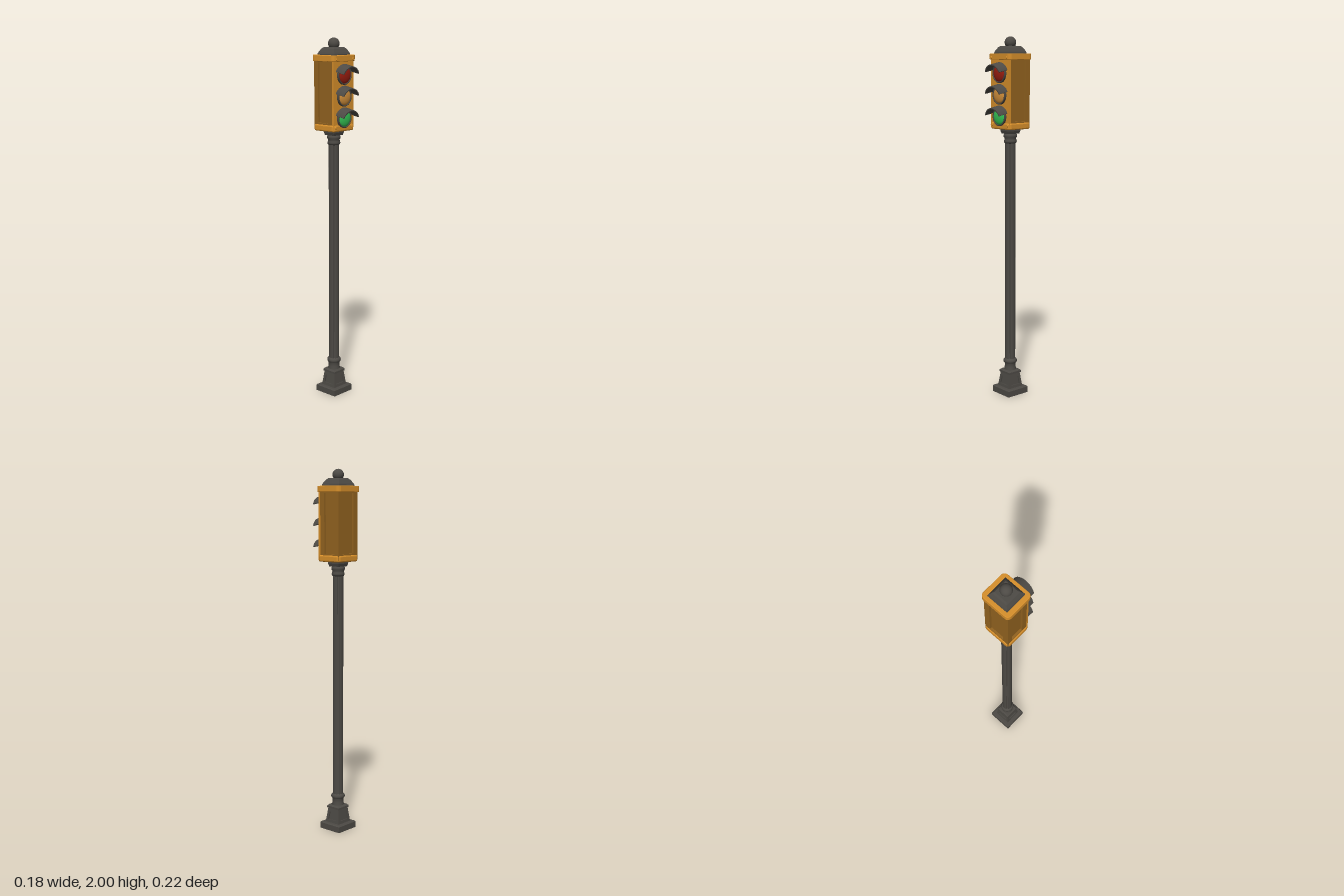
import * as THREE from 'three';

const mat = (name, color) => {
  const m = new THREE.MeshStandardMaterial({ color });
  m.name = name;
  return m;
};

export function createModel() {
  const iron = mat('dark iron', 0x4d4a45);
  const amber = mat('amber paint', 0xd8902b);
  const brown = mat('dark amber paint', 0x946420);
  const red = mat('red glass', 0x9a1e10);
  const yellow = mat('yellow glass', 0xd4913c);
  const green = mat('green glass', 0x35c455);

  const model = new THREE.Group();
  const post = new THREE.Group(); // everything is centred on the pole axis
  post.position.z = -0.028;
  model.add(post);

  const add = (name, geo, material, x = 0, y = 0, z = 0, parent = post) => {
    const mesh = new THREE.Mesh(geo, material);
    mesh.name = name;
    mesh.position.set(x, y, z);
    parent.add(mesh);
    return mesh;
  };
  const points = (p) => p.map(([r, y]) => new THREE.Vector2(r, y));
  // Square stepped block from [halfWidth, y] pairs
  const squareTurned = (p) => {
    const g = new THREE.LatheGeometry(points(p.map(([h, y]) => [h * Math.SQRT2, y])), 4, Math.PI / 4).toNonIndexed();
    g.computeVertexNormals();
    return g;
  };
  const roundTurned = (p) => new THREE.LatheGeometry(points(p), 32);
  // Horizontal slab with rounded corners and edges
  const slab = (hx, hz, r, height, bevel) => {
    const a = hx - bevel, b = hz - bevel;
    const s = new THREE.Shape();
    s.moveTo(-a + r, -b);
    s.lineTo(a - r, -b);
    s.absarc(a - r, -b + r, r, -Math.PI / 2, 0);
    s.absarc(a - r, b - r, r, 0, Math.PI / 2);
    s.absarc(-a + r, b - r, r, Math.PI / 2, Math.PI);
    s.absarc(-a + r, -b + r, r, Math.PI, Math.PI * 1.5);
    const g = new THREE.ExtrudeGeometry(s, {
      depth: height - 2 * bevel, bevelSize: bevel, bevelThickness: bevel, bevelSegments: 3, curveSegments: 6,
    });
    return g.rotateX(-Math.PI / 2).translate(0, bevel, 0);
  };
  // Upright frame with a trapezoid outline and opening, front face at z = 0
  const frame = (w0, w1, h, o0, o1, y0, y1, depth) => {
    const v = (x, y) => new THREE.Vector2(x, y);
    const s = new THREE.Shape([v(-w0, 0), v(w0, 0), v(w1, h), v(-w1, h)]);
    s.holes.push(new THREE.Path([v(-o0, y0), v(-o1, y1), v(o1, y1), v(o0, y0)]));
    return new THREE.ExtrudeGeometry(s, { depth, bevelEnabled: false }).translate(0, 0, -depth);
  };

  // Foot and tapered plinth with a sunken panel on each side
  add('foot', squareTurned([[0, 0], [0.071, 0], [0.071, 0.033], [0.066, 0.038], [0, 0.038]]), iron);
  add('plinth', squareTurned([[0.041, 0.036], [0.03, 0.122]]), iron);
  for (let i = 0; i < 4; i++) {
    const g = frame(0.049, 0.038, 0.086, 0.031, 0.026, 0.018, 0.062, 0.009);
    g.rotateX(-Math.atan(0.011 / 0.086)).translate(0, 0.036, 0.049).rotateY(i * Math.PI / 2);
    add('plinthPanelFrame', g, iron);
  }
  add('plinthCap', squareTurned([[0, 0.119], [0.043, 0.119], [0.043, 0.13], [0.035, 0.138], [0, 0.138]]), iron);
  add('lowerCollar', roundTurned([[0.034, 0.136], [0.031, 0.155], [0.031, 0.176], [0.037, 0.18],
    [0.039, 0.188], [0.037, 0.196], [0.031, 0.202], [0.025, 0.204]]), iron);

  // Round pole with a groove on each diagonal
  const section = new THREE.Shape(Array.from({ length: 96 }, (_, i) => {
    const a = (i / 96) * Math.PI * 2;
    const r = Math.cos(4 * a) < -0.85 ? 0.025 : 0.029;
    return new THREE.Vector2(r * Math.cos(a), r * Math.sin(a));
  }));
  const poleGeo = new THREE.ExtrudeGeometry(section, { depth: 1.25, bevelEnabled: false });
  add('pole', poleGeo.rotateX(-Math.PI / 2), iron, 0, 0.195);

  // Collar and mount below the signal box
  add('upperCollar', roundTurned([[0.025, 1.425], [0.033, 1.43], [0.036, 1.438], [0.033, 1.446],
    [0.031, 1.455], [0.037, 1.463], [0.037, 1.474], [0.03, 1.482], [0.03, 1.49]]), iron);
  add('mount', squareTurned([[0, 1.48], [0.034, 1.48], [0.039, 1.495], [0.039, 1.51], [0, 1.51]]), iron);

  // Signal box: bright front plate, darker core with framed side and back panels
  const bottom = 1.515, height = 0.37, hx = 0.077, hz = 0.072;
  add('boxCore', new THREE.BoxGeometry(0.13, height, 0.12), brown, 0, bottom + height / 2);
  add('frontPlate', new THREE.BoxGeometry(hx * 2, height, 0.012), amber, 0, bottom + height / 2, hz - 0.006);
  for (const s of [-1, 1]) {
    const g = frame(0.066, 0.066, height, 0.037, 0.037, 0.034, 0.356, 0.012);
    add('sidePanelFrame', g, brown, s * hx, bottom, -0.006).rotation.y = s * Math.PI / 2;
  }
  const backGeo = frame(hx, hx, height, 0.044, 0.044, 0.034, 0.356, 0.012);
  add('backPanelFrame', backGeo, brown, 0, bottom, -hz).rotation.y = Math.PI;
  add('bottomTrim', slab(0.082, 0.077, 0.012, 0.036, 0.008), amber, 0, 1.506);
  add('topLip', slab(0.089, 0.083, 0.02, 0.033, 0.003), amber, 0, 1.877);

  // Corner bolts
  for (const x of [-0.063, 0.063]) {
    for (const [y, z] of [[1.888, 0.083], [1.528, 0.077]]) {
      const bolt = new THREE.CylinderGeometry(0.007, 0.009, 0.008, 12).rotateX(Math.PI / 2);
      add('bolt', bolt, amber, x, y, z);
    }
  }

  // Lights: rim, glass dome and tilted hood
  const a0 = 0.4, a1 = Math.PI - a0;
  const hoodShape = new THREE.Shape();
  hoodShape.absarc(0, 0, 0.066, a0, a1, false);
  hoodShape.absarc(0, 0, 0.06, a1, a0, true);
  [[1.806, red], [1.691, yellow], [1.576, green]].forEach(([y, glass]) => {
    const light = new THREE.Group();
    light.name = 'light';
    light.position.set(0, y, hz);
    post.add(light);
    const rim = roundTurned([[0.052, -0.004], [0.052, 0.009], [0.05, 0.012], [0.046, 0.012], [0.044, 0.004], [0, 0.004]]);
    add('lightRim', rim.rotateX(Math.PI / 2), iron, 0, 0, 0, light);
    const dome = new THREE.SphereGeometry(0.045, 32, 10, 0, Math.PI * 2, 0, Math.PI / 2);
    add('lens', dome.scale(1, 0.3, 1).rotateX(Math.PI / 2), glass, 0, 0, 0.006, light);
    const hood = new THREE.ExtrudeGeometry(hoodShape, { depth: 0.06, bevelEnabled: false, curveSegments: 24 });
    add('hood', hood, iron, 0, -0.006, -0.008, light).rotation.x = 0.2;
  });

  // Roof and ball finial
  add('roof', squareTurned([[0, 1.905], [0.062, 1.905], [0.062, 1.915], [0.058, 1.924],
    [0.047, 1.942], [0.038, 1.95], [0, 1.951]]), iron);
  add('finialNeck', roundTurned([[0.024, 1.945], [0.018, 1.952], [0.018, 1.96]]), iron);
  add('finialBall', new THREE.SphereGeometry(0.031, 32, 20), iron, 0, 1.969);

  return model;
}
